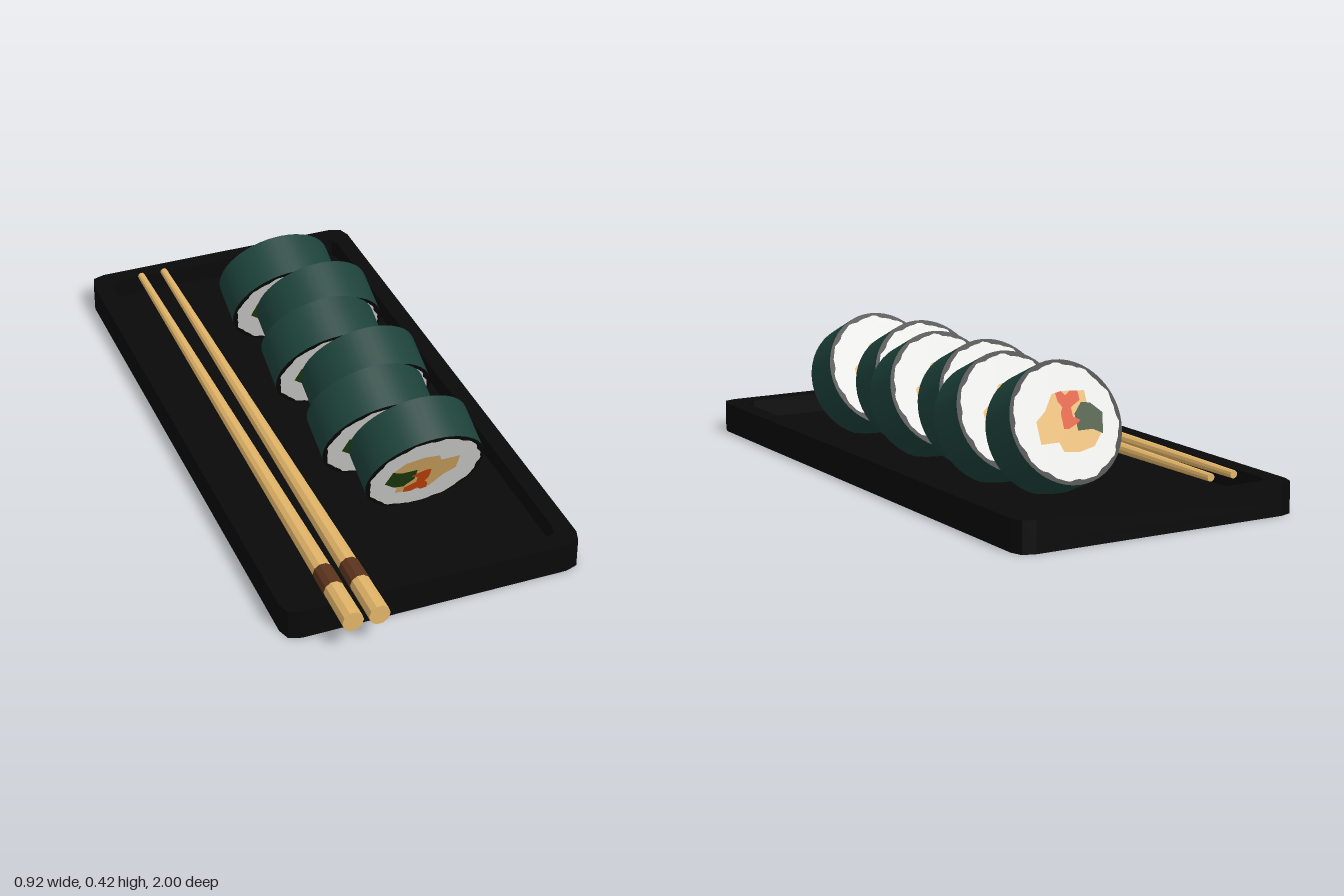
import * as THREE from 'three';

const mat = (name, color, flatShading = false) => {
  const m = new THREE.MeshStandardMaterial({ color, flatShading });
  m.name = name;
  return m;
};

function named(name, geometry, material) {
  const mesh = new THREE.Mesh(geometry, material);
  mesh.name = name;
  return mesh;
}

// Rectangle with rounded corners, in x and z (drawn as x and y)
function roundedRect(Type, w, d, r) {
  const s = new Type(), x = w / 2, y = d / 2;
  s.moveTo(-x + r, -y);
  s.lineTo(x - r, -y); s.quadraticCurveTo(x, -y, x, -y + r);
  s.lineTo(x, y - r); s.quadraticCurveTo(x, y, x - r, y);
  s.lineTo(-x + r, y); s.quadraticCurveTo(-x, y, -x, y - r);
  s.lineTo(-x, -y + r); s.quadraticCurveTo(-x, -y, -x + r, -y);
  return s;
}

// Closed flat patch from a few points
const patch = pts => new THREE.ShapeGeometry(new THREE.Shape(pts.map(p => new THREE.Vector2(...p))));

export function createModel() {
  const model = new THREE.Group();
  model.name = 'sushiTray';

  const black = mat('trayBlack', 0x090909);
  const seaweed = mat('seaweedGreen', 0x1d423b);
  const riceWhite = mat('riceWhite', 0xe6e6e4);
  const tan = mat('eggTan', 0xe2b468);
  const green = mat('cucumberGreen', 0x21400a);
  const orange = mat('salmonOrange', 0xd9480a);
  const wood = mat('wood', 0xe2b569, true);
  const brown = mat('bandBrown', 0x5c341c, true);

  // Tray: floor slab and raised rim
  const tray = new THREE.Group();
  tray.name = 'tray';
  const floorY = 0.033, topY = 0.094, W = 0.916, D = 1.888;
  const slab = (shape, y0, y1) => new THREE.ExtrudeGeometry(shape, {
    depth: y1 - y0, bevelEnabled: false, curveSegments: 2,
  }).rotateX(-Math.PI / 2).translate(0, y0, D / 2 - 1);
  const rim = roundedRect(THREE.Shape, W, D, 0.05);
  rim.holes.push(roundedRect(THREE.Path, W - 0.11, D - 0.11, 0.04));
  tray.add(named('trayFloor', slab(roundedRect(THREE.Shape, W, D, 0.05), 0, floorY), black));
  tray.add(named('trayRim', slab(rim, floorY, topY), black));
  model.add(tray);

  // Shared roll geometry: seaweed drum, uneven rice disc and three fillings
  const R = 0.185, T = 0.143;
  const drum = new THREE.CylinderGeometry(R, R, T, 48).rotateX(Math.PI / 2);
  const ricePts = [];
  for (let i = 0; i < 72; i++) {
    const a = i / 72 * Math.PI * 2;
    const r = 0.172 + 0.003 * Math.sin(a * 11) + 0.002 * Math.sin(a * 23 + 1);
    ricePts.push([r * Math.cos(a), r * Math.sin(a)]);
  }
  const layers = [
    ['rice', patch(ricePts), riceWhite],
    ['egg', patch([[-0.11, 0.04], [-0.075, 0.08], [-0.02, 0.092], [0.03, 0.085], [0.04, 0.057],
      [0.1, 0.057], [0.1, -0.01], [0.065, -0.036], [0.03, -0.085], [-0.01, -0.09],
      [-0.08, -0.085], [-0.08, -0.04]]), tan],
    ['cucumber', patch([[-0.11, 0.046], [-0.08, 0.03], [-0.03, 0.03], [-0.03, -0.02],
      [-0.06, -0.052], [-0.09, -0.047], [-0.125, -0.014]]), green],
    ['salmon', patch([[-0.045, 0], [-0.03, 0.01], [0, 0.022], [0.016, 0.02], [0.016, -0.025],
      [0.006, -0.043], [0.018, -0.06], [0.02, -0.086], [0, -0.09], [-0.012, -0.076],
      [-0.03, -0.088], [-0.056, -0.085], [-0.056, -0.058], [-0.022, -0.04], [-0.022, -0.012]]), orange],
  ];

  // One end of a roll, its layers stacked just above the drum
  function rollEnd(name) {
    const end = new THREE.Group();
    end.name = name;
    layers.forEach(([part, geo, material], i) => {
      const m = named(part, geo, material);
      m.position.z = T / 2 + 0.0015 * (i + 1);
      end.add(m);
    });
    return end;
  }

  // Six leaning rolls, staggered left and right
  for (let i = 0; i < 6; i++) {
    const roll = new THREE.Group();
    roll.name = `roll${i + 1}`;
    const back = rollEnd('backEnd');
    back.rotation.x = Math.PI;
    roll.add(named('seaweedWrap', drum, [seaweed, black, black]), rollEnd('frontEnd'), back);
    roll.rotation.x = THREE.MathUtils.degToRad(24);
    roll.position.set(i % 2 ? 0.055 : 0.111, 0.218, 0.466 - i * 0.199);
    model.add(roll);
  }

  // Tapered ten-sided chopsticks with a brown band near the thick end
  const zFront = 1, zBack = -0.915, rFront = 0.032, rBack = 0.012;
  const radiusAt = z => rBack + (rFront - rBack) * (z - zBack) / (zFront - zBack);
  const rod = (z0, z1, extra) => new THREE.CylinderGeometry(radiusAt(z1) + extra, radiusAt(z0) + extra, z1 - z0, 10)
    .rotateY(Math.PI / 10).rotateX(Math.PI / 2).translate(0, 0, (z0 + z1) / 2);
  for (const [name, x] of [['rightChopstick', -0.301], ['leftChopstick', -0.222]]) {
    const stick = new THREE.Group();
    stick.name = name;
    stick.add(named('shaft', rod(zBack, zFront, 0), wood));
    stick.add(named('band', rod(0.77, 0.855, 0.0015), brown));
    stick.position.set(x, 0.115, 0);
    stick.rotation.x = 0.001;
    model.add(stick);
  }
  return model;
}
